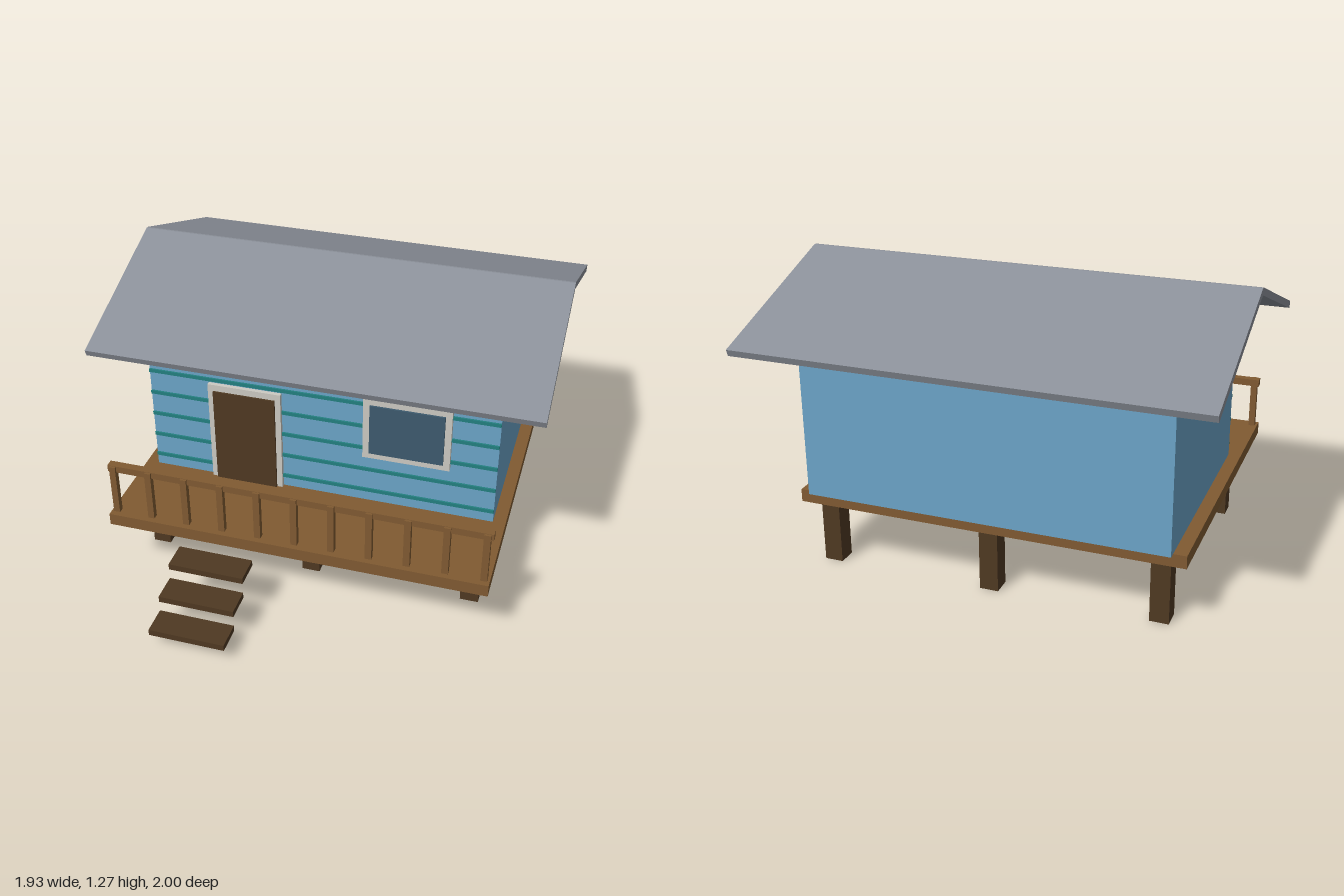
import * as THREE from 'three';

const mat = (name, color) => {
  const m = new THREE.MeshStandardMaterial({ color });
  m.name = name;
  return m;
};

export function createModel() {
  const house = new THREE.Group();
  house.name = 'stiltCabin';

  const wallBlue = mat('wallBlue', 0x6ba4c7);
  const trimTeal = mat('trimTeal', 0x238080);
  const roofGrey = mat('roofGrey', 0x8b9099);
  const deckWood = mat('deckWood', 0x805a32);
  const darkWood = mat('darkWood', 0x4f3922);
  const frameWhite = mat('frameWhite', 0xcccac2);
  const glassBlue = mat('glassBlue', 0x3d5a6e);

  // Box given by its lower and upper limits on each axis
  const box = (name, material, [x0, x1], [y0, y1], [z0, z1]) => {
    const mesh = new THREE.Mesh(new THREE.BoxGeometry(x1 - x0, y1 - y0, z1 - z0), material);
    mesh.position.set((x0 + x1) / 2, (y0 + y1) / 2, (z0 + z1) / 2);
    mesh.name = name;
    house.add(mesh);
    return mesh;
  };

  // Deck on six stilts
  box('deck', deckWood, [-0.83, 0.83], [0.28, 0.335], [-0.77, 0.613]);
  for (const x of [-0.72, 0, 0.72])
    for (const z of [0.31, -0.69])
      box('stilt', darkWood, [x - 0.04, x + 0.04], [0, 0.28], [z - 0.04, z + 0.04]);

  // Walls: gable profile extruded along x
  const halfWidth = 0.775;
  const profile = new THREE.Shape([
    [-0.2, 0.335], [0.8, 0.335], [0.8, 1.0], [0.3, 1.222], [-0.2, 1.0],
  ].map(([x, y]) => new THREE.Vector2(x, y)));
  const wallGeometry = new THREE.ExtrudeGeometry(profile, { depth: halfWidth * 2, bevelEnabled: false });
  wallGeometry.translate(0, 0, -halfWidth).rotateY(Math.PI / 2);
  const walls = new THREE.Mesh(wallGeometry, wallBlue);
  walls.name = 'walls';
  house.add(walls);

  // Siding strips on the front wall
  for (let i = 0; i < 6; i++) {
    const y = 0.392 + i * 0.111;
    box('sidingStrip', trimTeal, [-halfWidth, halfWidth], [y - 0.008, y + 0.008], [0.195, 0.208]);
  }

  // Door and window
  box('doorFrame', frameWhite, [-0.5, -0.17], [0.335, 0.82], [0.195, 0.219]);
  box('door', darkWood, [-0.475, -0.195], [0.335, 0.79], [0.2, 0.227]);
  box('windowFrame', frameWhite, [0.195, 0.575], [0.575, 0.875], [0.195, 0.219]);
  box('windowPane', glassBlue, [0.225, 0.547], [0.605, 0.845], [0.2, 0.228]);

  // Two roof slabs meeting at the ridge
  const pitch = THREE.MathUtils.degToRad(20);
  for (const side of [1, -1]) {
    const slab = new THREE.Mesh(new THREE.BoxGeometry(1.935, 0.03, 0.74), roofGrey);
    slab.position.set(0, 1.125, -0.3 + side * 0.347);
    slab.rotation.x = side * pitch;
    slab.name = side > 0 ? 'frontRoof' : 'backRoof';
    house.add(slab);
  }

  // Railing along the front edge of the deck
  box('handrail', deckWood, [-0.83, 0.83], [0.541, 0.572], [0.543, 0.578]);
  for (let i = -5; i <= 5; i++) {
    const x = i * 0.161;
    box('railPost', deckWood, [x - 0.014, x + 0.014], [0.335, 0.57], [0.562, 0.588]);
  }

  // Floating steps
  for (let i = 0; i < 3; i++) {
    const y = 0.081 + i * 0.077, z = 0.939 - i * 0.121;
    box('step', darkWood, [-0.5, -0.17], [y - 0.014, y + 0.014], [z - 0.061, z + 0.061]);
  }

  return house;
}
